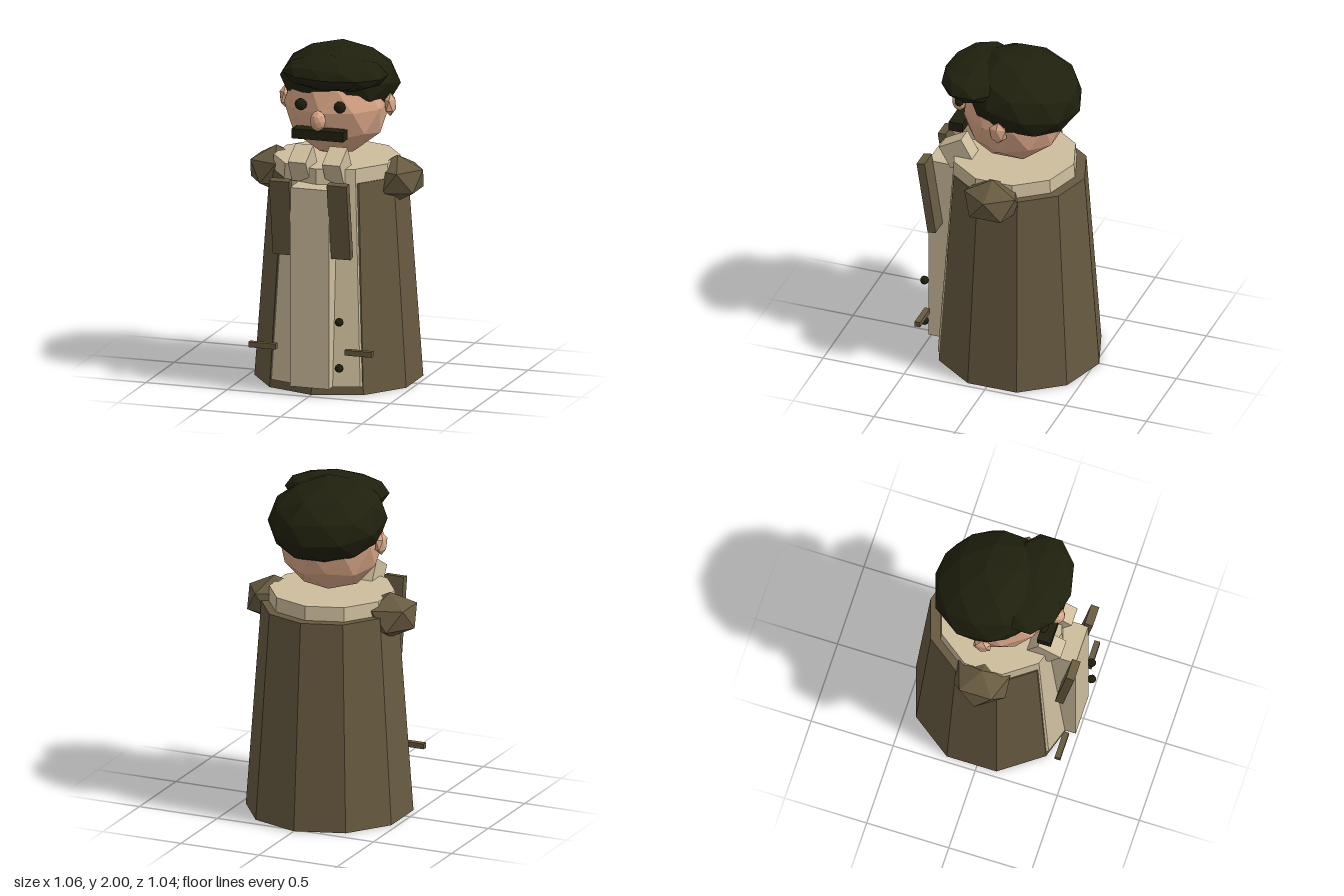
import * as THREE from 'three';

const mat = (name, color) => {
  const m = new THREE.MeshStandardMaterial({ color, flatShading: true });
  m.name = name;
  return m;
};

export function createModel() {
  const group = new THREE.Group();
  const coat = mat('coat brown', 0x675a40);
  const cream = mat('cream cloth', 0xcdbd9c);
  const skin = mat('skin', 0xdaa787);
  const dark = mat('dark olive', 0x20200e);

  const add = (name, geometry, material, x, y, z, tilt = 0) => {
    const mesh = new THREE.Mesh(geometry, material);
    mesh.name = name;
    mesh.position.set(x, y, z);
    mesh.rotation.x = tilt;
    group.add(mesh);
    return mesh;
  };
  // Faceted ball standing on one of its corners
  const ball = (rx, ry, rz, detail = 1) =>
    new THREE.IcosahedronGeometry(1, detail).rotateZ(-0.5536).scale(rx, ry, rz);
  const box = (w, h, d) => new THREE.BoxGeometry(w, h, d);

  // Ten-sided coat with the shirt pushing through its front and top
  add('coat', new THREE.CylinderGeometry(0.4, 0.49, 1.245, 10), coat, 0, 0.6225, -0.033);
  add('shirt', new THREE.CylinderGeometry(0.367, 0.463, 1.28, 10), cream, 0, 0.69, 0);
  add('shirtPanel', box(0.24, 1.19, 0.29), cream, 0, 0.645, 0.345);

  // Head and cap
  add('head', ball(0.31, 0.31, 0.31), skin, 0, 1.645, -0.005);
  add('capCrown', ball(0.352, 0.23, 0.35), dark, 0, 1.77, -0.06, -0.2);
  add('capPeak', ball(0.32, 0.1, 0.217), dark, 0.055, 1.868, 0.188);

  // Face
  add('nose', ball(0.047, 0.062, 0.045), skin, 0, 1.612, 0.34);
  add('moustache', box(0.316, 0.058, 0.084), dark, 0, 1.527, 0.308);

  // Paired parts
  for (const s of [-1, 1]) {
    add('eye', ball(0.037, 0.037, 0.027), dark, s * 0.12, 1.692, 0.296);
    add('ear', ball(0.034, 0.07, 0.06, 0), skin, s * 0.322, 1.652, -0.015);
    add('shoulder', ball(0.175, 0.138, 0.185, 0), coat, s * 0.372, 1.22, 0);
    add('collarFlap', box(0.11, 0.147, 0.158), cream, s * 0.105, 1.346, 0.306, 0.52);
    add('lapel', box(0.122, 0.46, 0.05), coat, s * 0.177, 1.055, 0.46, 0.15);
    add('pocketFlap', box(0.167, 0.032, 0.034), coat, s * 0.295, 0.275, 0.462);
  }

  // Shirt buttons
  for (const y of [0.182, 0.458])
    add('button', ball(0.026, 0.026, 0.026), dark, 0.183, y, 0.49);

  return group;
}
